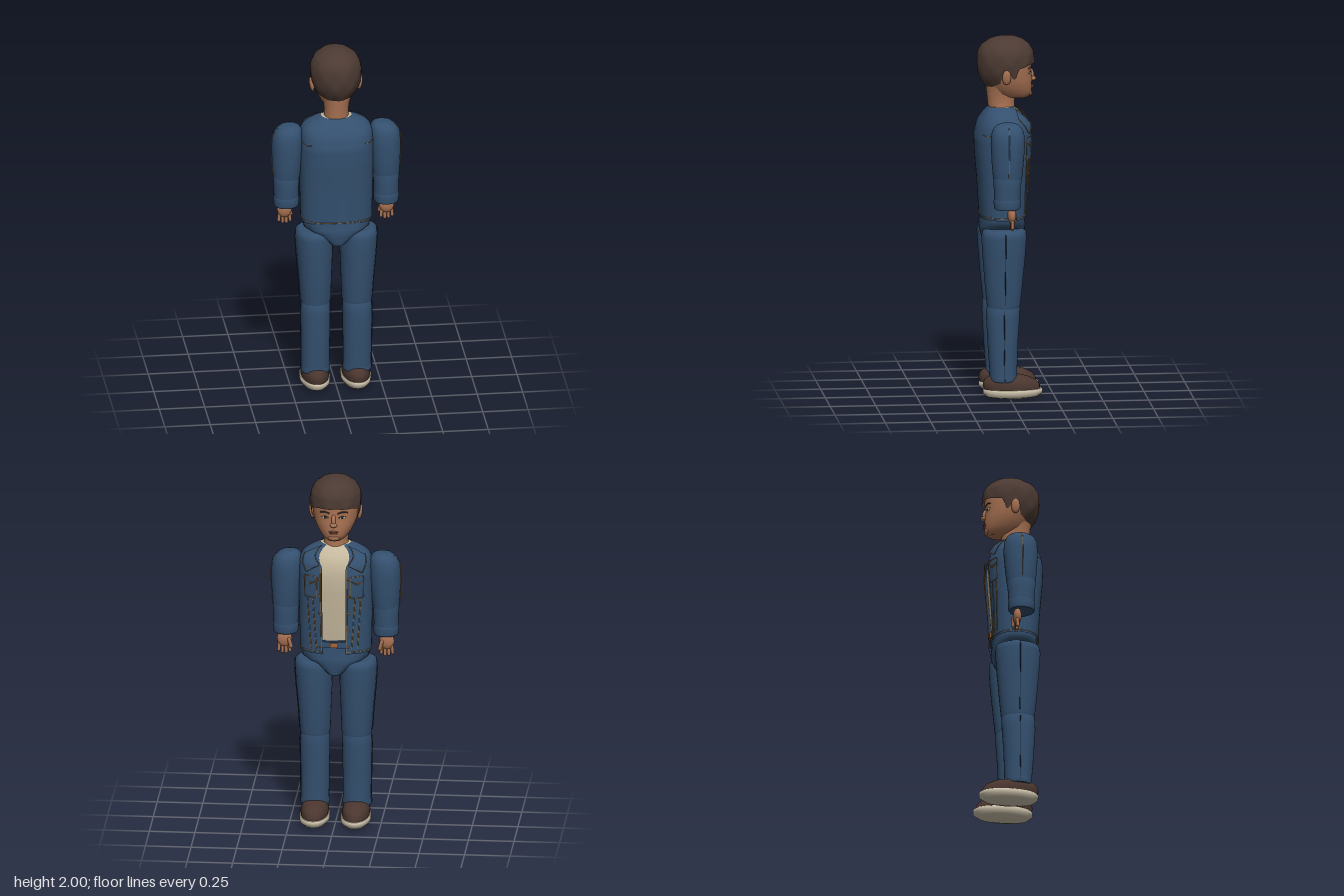
import * as THREE from 'three';

const material = (name, color, double) => {
  const m = new THREE.MeshStandardMaterial({ color });
  m.name = name;
  if (double) m.side = THREE.DoubleSide;
  return m;
};

// Section rows: [y, half width, front z, back z, centre x, roundness], lowest first
const TORSO = [[1.0, .195, -.1, .155, 0, 2.5], [1.2, .2, -.11, .167, 0, 2.5], [1.35, .203, -.122, .18, 0, 2.5],
  [1.45, .203, -.128, .184, 0, 2.5], [1.52, .198, -.115, .167, 0, 2.5], [1.56, .18, -.09, .143, 0, 2.4],
  [1.585, .14, -.065, .125, 0, 2.2], [1.61, .085, -.04, .108, 0, 2]];
const PELVIS = [[.87, .045, -.08, .14, 0, 2.6], [.93, .12, -.094, .156, 0, 3], [.965, .182, -.095, .155, 0, 2.6],
  [1.0, .187, -.09, .148, 0, 2.5], [1.075, .187, -.09, .145, 0, 2.5]];
const HEAD = [[1.655, .04, -.108, -.02], [1.665, .062, -.125, .06], [1.69, .084, -.134, .1], [1.72, .1, -.134, .11],
  [1.76, .118, -.134, .135], [1.8, .125, -.129, .148], [1.84, .13, -.134, .155], [1.9, .126, -.13, .15],
  [1.95, .1, -.1, .12]];
const HAIR = [[1.7, .08, -.13, .105], [1.75, .116, -.14, .143], [1.8, .134, -.142, .164], [1.86, .142, -.147, .169],
  [1.91, .137, -.142, .164], [1.95, .116, -.12, .143], [1.98, .076, -.083, .1], [1.993, .042, -.045, .06], [2, .001, .009, .01]];

// Point of a section ring: angle 0 is the front, a quarter turn is +x
function surf(rows, a, y, off = 0) {
  let i = 0;
  while (i < rows.length - 2 && y > rows[i + 1][0]) i++;
  const p = rows[i], q = rows[i + 1];
  const t = THREE.MathUtils.clamp((y - p[0]) / (q[0] - p[0]), 0, 1);
  const at = (k, d) => THREE.MathUtils.lerp(p[k] ?? d, q[k] ?? d, t);
  const e = 2 / at(5, 2), s = Math.sin(a), c = Math.cos(a);
  const pow = v => Math.sign(v) * Math.abs(v) ** e;
  return [at(4, 0) + pow(s) * (at(1) + off), y, (at(2) + at(3)) / 2 - pow(c) * ((at(3) - at(2)) / 2 + off)];
}

// Grid surface from point(u, v), optionally closed around and capped
function grid(point, nu, nv, closed = false, caps = false) {
  const pos = [], idx = [], cols = closed ? nu : nu + 1;
  for (let j = 0; j <= nv; j++) for (let i = 0; i < cols; i++) pos.push(...point(i / nu, j / nv));
  for (let j = 0; j < nv; j++) for (let i = 0; i < nu; i++) {
    const k = (i + 1) % cols, a = j * cols + i, b = j * cols + k;
    idx.push(a, a + cols, b, b, a + cols, b + cols);
  }
  if (caps) for (const v of [0, 1]) {
    const base = pos.length / 3, mid = [0, 0, 0];
    for (let i = 0; i < nu; i++) {
      const p = point(i / nu, v);
      pos.push(...p);
      p.forEach((n, k) => { mid[k] += n / nu; });
    }
    pos.push(...mid);
    for (let i = 0; i < nu; i++) {
      const k = base + (i + 1) % nu;
      idx.push(base + nu, ...(v ? [k, base + i] : [base + i, k]));
    }
  }
  const g = new THREE.BufferGeometry();
  g.setAttribute('position', new THREE.Float32BufferAttribute(pos, 3));
  g.setIndex(idx);
  g.computeVertexNormals();
  return g;
}

const TAU = Math.PI * 2;
const loft = (rows, off = 0, n = 32) => grid((u, v) =>
  surf(rows, u * TAU, rows[Math.round(v * (rows.length - 1))][0], off), n, rows.length - 1, true, true);

// Thin panel lying on a surface, given four [angle, y] corners
const panel = (rows, [a, b, c, d], off) => grid((u, v) => {
  const m = k => (a[k] * (1 - u) + b[k] * u) * (1 - v) + (d[k] * (1 - u) + c[k] * u) * v;
  return surf(rows, m(0), m(1), off);
}, 8, 8);

// Thread following a surface through [angle, y] points
function thread(rows, pts, off = .002, r = .0022) {
  const path = new THREE.CurvePath();
  const fine = [];
  pts.slice(1).forEach((q, i) => {
    for (let k = 0; k <= 8; k++) {
      if (i && !k) continue;
      const t = k / 8, p = pts[i];
      fine.push(new THREE.Vector3(...surf(rows, p[0] + (q[0] - p[0]) * t, p[1] + (q[1] - p[1]) * t, off)));
    }
  });
  for (let i = 1; i < fine.length; i++) path.add(new THREE.LineCurve3(fine[i - 1], fine[i]));
  return new THREE.TubeGeometry(path, fine.length * 2, r, 4);
}

export function createModel() {
  const root = new THREE.Group();
  root.name = 'standingFigure';
  const denim = material('denim', 0x34506f, true), darkSeam = material('dark seam', 0x1e2d40);
  const skin = material('skin', 0xaa7354), hair = material('hair', 0x4c3a33, true);
  const leather = material('shoe leather', 0x4b362f), cream = material('sole cream', 0xd6cbb3);
  const shirt = material('shirt', 0xc4b79c), stitch = material('stitching', 0x94703f);
  const lip = material('lips', 0x8a5244), copper = material('copper', 0xa5673f);

  const add = (name, geometry, mat) => {
    const m = new THREE.Mesh(geometry, mat);
    m.name = name;
    root.add(m);
    return m;
  };
  const blob = (name, mat, p, s) => {
    const m = add(name, new THREE.SphereGeometry(1, 18, 12), mat);
    m.position.set(...p);
    m.scale.set(...s);
    return m;
  };

  // Head, neck and hair with a fringe, sideburns and a longer back
  add('neck', loft([[1.56, .075, -.045, .105], [1.62, .066, -.038, .108], [1.68, .07, -.04, .115], [1.73, .085, -.05, .12]]), skin);
  add('head', loft(HEAD), skin);
  const hairline = [[0, 1.85], [.75, 1.845], [1.15, 1.83], [1.3, 1.775], [1.42, 1.775], [1.5, 1.81], [1.75, 1.81], [1.9, 1.75], [2.4, 1.725], [3.2, 1.72]];
  const lowEdge = a => {
    const i = hairline.findIndex(p => p[0] > a), [p, q] = [hairline[i - 1], hairline[i]];
    return p[1] + (q[1] - p[1]) * (a - p[0]) / (q[0] - p[0]);
  };
  add('hair', grid((u, v) => {
    const a = u * TAU, y = 2 - (2 - lowEdge(Math.min(a, TAU - a))) * (1 - v) ** 2;
    return surf(HAIR, a, y, .003 * Math.sin(9 * a) * Math.sin(45 * y) * (1 - v));
  }, 72, 18, true), hair);

  // Face
  blob('noseBridge', skin, [0, 1.785, -.132], [.012, .032, .014]).rotation.x = .25;
  blob('noseTip', skin, [0, 1.757, -.139], [.02, .013, .018]);
  blob('upperLip', lip, [0, 1.717, -.135], [.027, .005, .008]);
  blob('lowerLip', lip, [0, 1.708, -.134], [.022, .006, .008]);
  blob('chin', skin, [0, 1.679, -.118], [.032, .018, .018]);

  for (const s of [1, -1]) {
    const on = pts => pts.map(([a, y]) => [a * s, y]);
    const side = rows => rows.map(([y, rx, f, b, cx, n = 2.1]) => [y, rx, f, b, cx * s, n]);

    blob('ear', skin, [s * .133, 1.787, .018], [.013, .042, .024]).rotation.z = -.15 * s;
    const eye = blob('eye', cream, surf(HEAD, s * .38, 1.796), [.019, .007, .004]);
    eye.rotation.y = -.35 * s;
    const iris = blob('iris', darkSeam, surf(HEAD, s * .37, 1.796, .003), [.007, .007, .003]);
    iris.rotation.y = -.35 * s;
    add('eyelid', thread(HEAD, on([[.22, 1.797], [.37, 1.804], [.55, 1.797]]), .002, .0025), hair);
    add('eyebrow', thread(HEAD, on([[.17, 1.822], [.4, 1.83], [.62, 1.822]]), .001, .004), hair);

    // Sleeves
    const upper = side([[1.235, .068, -.045, .1, .274], [1.26, .074, -.052, .108, .274], [1.34, .081, -.06, .115, .272],
      [1.44, .087, -.068, .12, .268], [1.5, .083, -.064, .116, .266], [1.53, .07, -.052, .104, .26], [1.548, .052, -.034, .085, .254], [1.556, .03, -.01, .06, .25]]);
    add('upperSleeve', loft(upper), denim);
    add('lowerSleeve', loft(side([[1.12, .067, -.04, .1, .275], [1.2, .069, -.044, .104, .275], [1.26, .073, -.05, .107, .275], [1.285, .06, -.04, .095, .275]])), denim);
    add('cuff', loft(side([[1.085, .064, -.036, .097, .275], [1.093, .069, -.042, .103, .275], [1.133, .071, -.044, .105, .275], [1.14, .066, -.04, .1, .275]])), denim);
    add('sleeveStitch', thread(upper, [[s * 1.57, 1.27], [s * 1.57, 1.54]]), stitch);

    // Hand with four fingers and a thumb
    blob('palm', skin, [s * .281, 1.05, .006], [.041, .048, .023]);
    for (let i = 0; i < 4; i++) {
      const f = add('finger', new THREE.CapsuleGeometry(.0095, .05 - Math.abs(i - 1.4) * .008, 4, 8), skin);
      f.position.set(s * (.252 + i * .0195), .994 + Math.abs(i - 1.4) * .006, .004);
      f.rotation.z = s * (i - 1.5) * .06;
    }
    const thumb = add('thumb', new THREE.CapsuleGeometry(.011, .04, 4, 8), skin);
    thumb.position.set(s * .249, 1.03, -.012);
    thumb.rotation.z = -.25 * s;

    // Trouser legs
    const thigh = side([[.5, .076, -.052, .117, .114], [.525, .084, -.06, .126, .114], [.65, .09, -.072, .138, .116],
      [.8, .1, -.086, .15, .12], [.9, .104, -.092, .156, .122], [.935, .1, -.088, .15, .122], [.945, .085, -.07, .13, .118]]);
    const shin = side([[.1, .076, -.036, .106, .115], [.106, .08, -.041, .111, .115], [.13, .08, -.042, .111, .115], [.133, .077, -.04, .109, .115],
      [.3, .079, -.045, .121, .115], [.45, .082, -.055, .129, .115], [.51, .079, -.056, .126, .114], [.53, .065, -.045, .11, .114]]);
    add('thigh', loft(thigh), denim);
    add('lowerLeg', loft(shin), denim);
    add('thighSeam', thread(thigh, [[s * 1.57, .53], [s * 1.57, .93]]), darkSeam);
    add('shinSeam', thread(shin, [[s * 1.57, .11], [s * 1.57, .5]]), darkSeam);

    // Shoes
    add('shoe', loft(side([[.045, .074, -.166, .138, .113], [.075, .077, -.166, .148, .113], [.1, .071, -.145, .142, .113],
      [.12, .058, -.105, .125, .113], [.132, .04, -.06, .1, .113]])), leather);
    add('sole', loft(side([[0, .035, -.09, .06, .113], [.012, .068, -.155, .125, .113], [.03, .083, -.182, .146, .113], [.05, .083, -.182, .147, .113], [.055, .078, -.176, .142, .113]])), cream);

    // Collar flap, chest pocket and jacket stitching
    const flap = on([[.3, 1.52], [.72, 1.475], [1.05, 1.565], [.75, 1.606]]);
    add('collarFlap', panel(TORSO, flap, .013), denim);
    add('collarStitch', thread(TORSO, [flap[3], flap[0], flap[1], flap[2]], .014), stitch);
    const pocket = on([[.37, 1.33], [.8, 1.33], [.82, 1.455], [.38, 1.455]]);
    add('pocket', panel(TORSO, pocket, .006), denim);
    add('pocketStitch', thread(TORSO, [...pocket, pocket[0]], .006), stitch);
    add('pocketFlapStitch', thread(TORSO, on([[.38, 1.43], [.6, 1.405], [.82, 1.43]]), .007), stitch);
    add('pocketButton', new THREE.SphereGeometry(.006, 8, 6), copper).position.set(...surf(TORSO, s * .6, 1.418, .006));
    add('frontEdgeStitch', thread(TORSO, on([[.275, 1.005], [.275, 1.5]])), stitch);
    add('frontDartStitch', thread(TORSO, on([[.42, 1.03], [.52, 1.33]])), stitch);
    add('sideDartStitch', thread(TORSO, on([[.62, 1.03], [.72, 1.33]])), stitch);
    add('yokeStitch', thread(TORSO, on([[1.85, 1.48], [2.2, 1.468], [2.42, 1.475]])), stitch);
    for (let i = 0; i < 5; i++) {
      add('jacketButton', new THREE.SphereGeometry(.006, 8, 6), copper).position.set(...surf(TORSO, s * .31, 1.04 + i * .1, .001));
    }
  }

  // Open jacket over a plain shirt
  const opening = y => .24 + Math.max(0, y - 1.5) * 3;
  add('jacket', grid((u, v) => {
    const y = 1 + .61 * v, w = opening(y);
    return surf(TORSO, w + u * (TAU - 2 * w), y);
  }, 56, 30), denim);
  add('hemStitch', thread(TORSO, [[.26, 1.013], [1.5, 1.013], [3.14, 1.013], [4.78, 1.013], [TAU - .26, 1.013]]), stitch);
  add('shirt', loft([[1.05, .19, -.095, .15, 0, 2.5], ...TORSO.slice(1)], -.009), shirt);

  // Trouser top and buckle
  add('trouserTop', loft(PELVIS), denim);
  add('waistband', loft([[1.035, .187, -.1, .145, 0, 2.5], [1.07, .187, -.1, .145, 0, 2.5]]), denim);
  add('buckle', new THREE.BoxGeometry(.045, .026, .009), copper).position.set(0, 1.052, -.103);
  return root;
}
